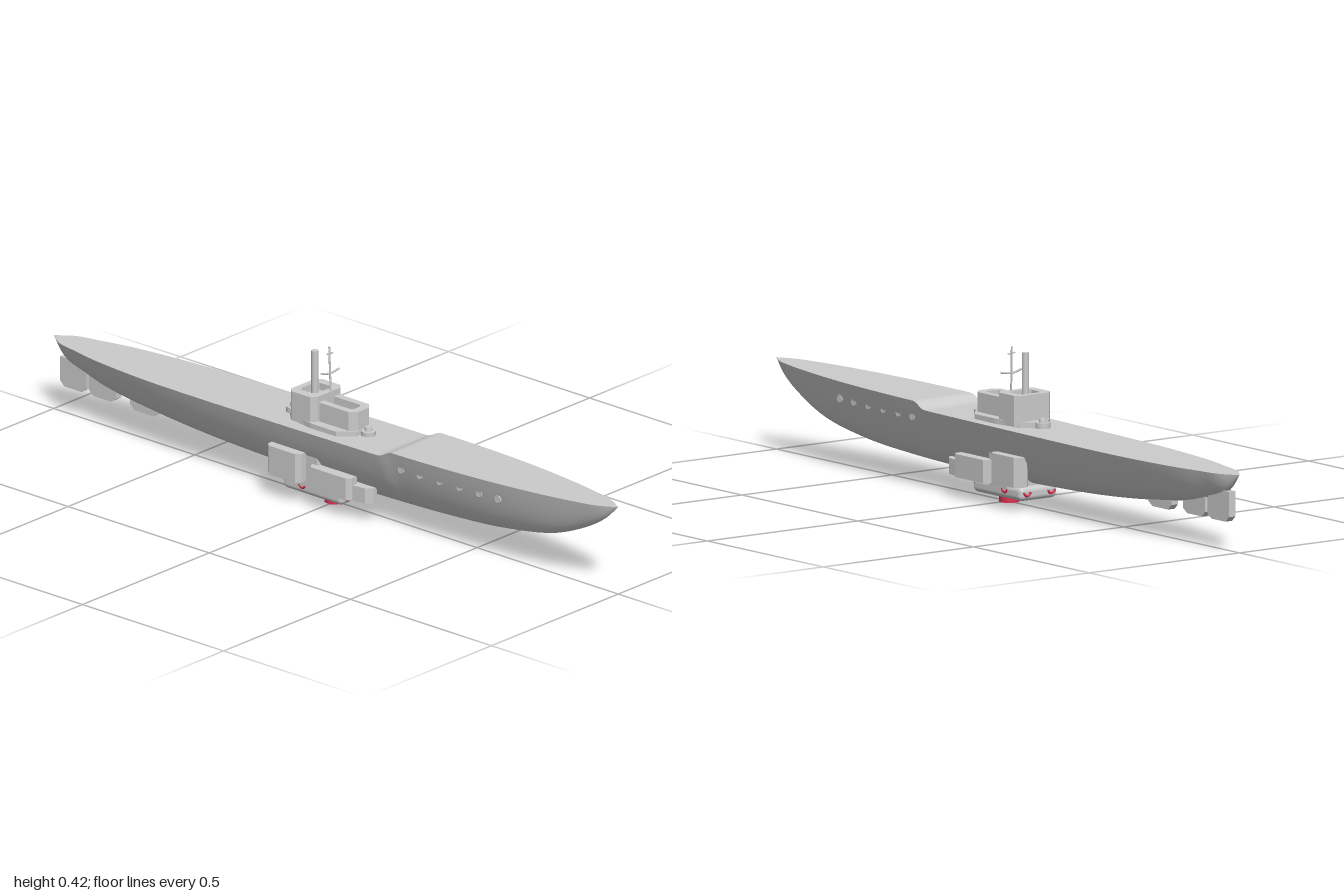
import * as THREE from 'three';
import { RoundedBoxGeometry } from 'three/addons/geometries/RoundedBoxGeometry.js';

const grey = new THREE.MeshStandardMaterial({ color: 0xcccccc, side: THREE.DoubleSide });
const red = new THREE.MeshStandardMaterial({ color: 0xd8324f });

// Hull stations: [half width, keel height, z]
const STATIONS = [
  [0, 0.208, -1], [0.036, 0.155, -0.945], [0.05, 0.134, -0.88], [0.067, 0.113, -0.8], [0.087, 0.09, -0.62],
  [0.095, 0.074, -0.42], [0.097, 0.066, -0.2], [0.098, 0.063, 0], [0.098, 0.064, 0.2], [0.096, 0.07, 0.4],
  [0.085, 0.084, 0.6], [0.064, 0.116, 0.78], [0.044, 0.162, 0.89], [0.028, 0.199, 0.95], [0, 0.246, 1],
];

function deckHeight(z) {
  const aft = 0.218 + 0.01 * z;
  const fore = 0.237 + 0.009 * z;
  return THREE.MathUtils.lerp(aft, fore, THREE.MathUtils.smoothstep(z, 0.235, 0.285));
}

// Surface through equal-length rows of points
function loft(rows) {
  const n = rows[0].length;
  const index = [];
  for (let i = 0; i < rows.length - 1; i++) {
    for (let j = 0; j < n - 1; j++) {
      const a = i * n + j;
      index.push(a, a + n, a + 1, a + n, a + n + 1, a + 1);
    }
  }
  const g = new THREE.BufferGeometry();
  g.setAttribute('position', new THREE.Float32BufferAttribute(rows.flat(2), 3));
  g.setIndex(index);
  g.computeVertexNormals();
  return g;
}

// Outline in x,z raised from y0 to y1, with optional hole outline
function prism(points, y0, y1, hole) {
  const flip = (p) => p.map(([x, z]) => new THREE.Vector2(x, -z));
  const shape = new THREE.Shape(flip(points));
  if (hole) shape.holes.push(new THREE.Path(flip(hole)));
  const g = new THREE.ExtrudeGeometry(shape, { depth: y1 - y0, bevelEnabled: false });
  return g.rotateX(-Math.PI / 2).translate(0, y0, 0);
}

// Rectangle with chamfered corners
function octagon(x0, x1, z0, z1, c, d = c) {
  return [[x0 + c, z0], [x1 - c, z0], [x1, z0 + d], [x1, z1 - d], [x1 - c, z1], [x0 + c, z1], [x0, z1 - d], [x0, z0 + d]];
}

function rod(points, r) {
  const curve = new THREE.CatmullRomCurve3(points.map((p) => new THREE.Vector3(...p)));
  return new THREE.TubeGeometry(curve, 12, r, 6);
}

export function createModel() {
  const model = new THREE.Group();
  const add = (name, geometry, x = 0, y = 0, z = 0, material = grey) => {
    const m = new THREE.Mesh(geometry, material);
    m.name = name;
    m.position.set(x, y, z);
    model.add(m);
    return m;
  };

  // Hull and deck
  const spine = new THREE.CatmullRomCurve3(STATIONS.map((s) => new THREE.Vector3(...s)));
  const hullRows = [];
  const deckRows = [];
  for (const p of spine.getSpacedPoints(160)) {
    const w = Math.max(p.x, 0);
    const top = deckHeight(p.z);
    const keel = Math.min(p.y, top);
    const row = [];
    for (let j = -14; j <= 14; j++) {
      const s = -j / 14;
      row.push([w * s, keel + (top - keel) * Math.pow(Math.abs(s), 1.95), p.z]);
    }
    hullRows.push(row);
    deckRows.push([[-w, top, p.z], [w, top, p.z]]);
  }
  add('hull', loft(hullRows));
  add('deck', loft(deckRows));

  // Portholes along both bows
  for (const side of [-1, 1]) {
    [0.305, 0.369, 0.437, 0.505, 0.572, 0.636].forEach((z, i) => {
      const x = side * (0.083 - i * 0.0028);
      const ring = add('portholeRing', new THREE.TorusGeometry(0.009, 0.0028, 6, 16), x, 0.193, z);
      ring.rotation.y = Math.PI / 2;
      const glass = add('portholeGlass', new THREE.CylinderGeometry(0.008, 0.008, 0.008, 16), x - side * 0.002, 0.193, z);
      glass.rotation.z = Math.PI / 2;
    });
  }

  // Conning tower: platform, low front bridge and taller rear bridge
  add('towerPlatform', prism([
    [-0.025, -0.14], [0.025, -0.14], [0.05, -0.115], [0.066, -0.03], [0.066, 0.06],
    [0.03, 0.1], [-0.03, 0.1], [-0.066, 0.06], [-0.066, -0.03], [-0.05, -0.115],
  ], 0.205, 0.232));
  add('frontBridge', prism(octagon(-0.04, 0.04, -0.04, 0.098, 0.018), 0.22, 0.285,
    octagon(-0.02, 0.02, -0.035, 0.075, 0.008)));
  add('frontBridgeFloor', prism(octagon(-0.025, 0.025, -0.035, 0.08, 0.008), 0.22, 0.262));
  add('rearBridge', prism(octagon(-0.06, 0.06, -0.118, -0.025, 0.014), 0.22, 0.302,
    octagon(-0.035, 0.035, -0.1, -0.045, 0.01)));
  add('rearBridgeFloor', prism(octagon(-0.04, 0.04, -0.105, -0.04, 0.01), 0.22, 0.282));
  for (const z of [0.115, -0.15]) {
    add('capstan', new THREE.CylinderGeometry(0.02, 0.02, 0.018, 20), 0, 0.222, z);
    add('capstanCap', new THREE.CylinderGeometry(0.009, 0.011, 0.012, 16), 0, 0.236, z);
  }

  // Periscope and raked mast
  add('periscope', new THREE.CylinderGeometry(0.0095, 0.0095, 0.13, 16), 0, 0.343, -0.075);
  add('mast', rod([[0.011, 0.25, -0.026], [0.015, 0.34, -0.034], [0.019, 0.421, -0.041]], 0.0028));
  add('mastYard', rod([[-0.021, 0.357, -0.034], [0.015, 0.349, -0.035], [0.05, 0.353, -0.034]], 0.0028));
  add('mastSpreader', rod([[0.007, 0.404, -0.039], [0.019, 0.403, -0.039], [0.031, 0.402, -0.039]], 0.002));

  // Drive unit slung beneath the keel
  add('tray', new RoundedBoxGeometry(0.124, 0.038, 0.21, 4, 0.014), 0, 0.041, -0.03);
  add('trayNeck', prism(octagon(-0.055, 0.055, -0.12, 0.1, 0.02), 0.05, 0.09));
  for (const s of [-1, 1]) {
    const m = (pts) => pts.map(([x, z]) => [x * s, z]);
    add('frontPod', prism(m(octagon(0.045, 0.089, -0.02, 0.125, 0.012)), 0.058, 0.12));
    add('frontPodNose', prism(m([[0.04, 0.11], [0.075, 0.11], [0.07, 0.165], [0.055, 0.182], [0.04, 0.182]]), 0.057, 0.1));
    add('rearPod', prism(m(octagon(0.05, 0.098, -0.163, -0.045, 0.012)), 0.066, 0.147));
    add('podStrut', prism(m(octagon(0.045, 0.068, -0.09, 0.0, 0.006)), 0.05, 0.16));
    for (const z of [0.055, -0.07]) {
      const hook = add('hook', new THREE.TorusGeometry(0.01, 0.0035, 8, 16, Math.PI), 0.04 * s, 0.046, z + (z > 0 ? 0.023 : -0.065), red);
      hook.rotation.z = Math.PI;
    }
    const sideHook = add('sideHook', new THREE.TorusGeometry(0.011, 0.004, 8, 16), 0.06 * s, 0.05, -0.065, red);
    sideHook.rotation.y = Math.PI / 2;
  }
  add('wheelHub', new THREE.CylinderGeometry(0.027, 0.027, 0.026, 28), 0, 0.013, -0.005, red);

  // Rudder and skegs under the stern: [front z, rear z, bottom, top]
  [[-0.875, -0.968, 0.078, 0.16], [-0.77, -0.866, 0.078, 0.14], [-0.62, -0.72, 0.076, 0.11]].forEach(([zf, zr, b, t], i) => {
    const shape = new THREE.Shape([
      [zf, t], [zf, b + 0.012], [zf - 0.018, b], [zr + 0.015, b], [zr, b + 0.014], [zr, t],
    ].map(([z, y]) => new THREE.Vector2(-z, y)));
    const g = new THREE.ExtrudeGeometry(shape, { depth: 0.022, bevelEnabled: false });
    add(i ? 'skeg' : 'rudder', g.translate(0, 0, -0.011).rotateY(Math.PI / 2));
  });

  return model;
}
